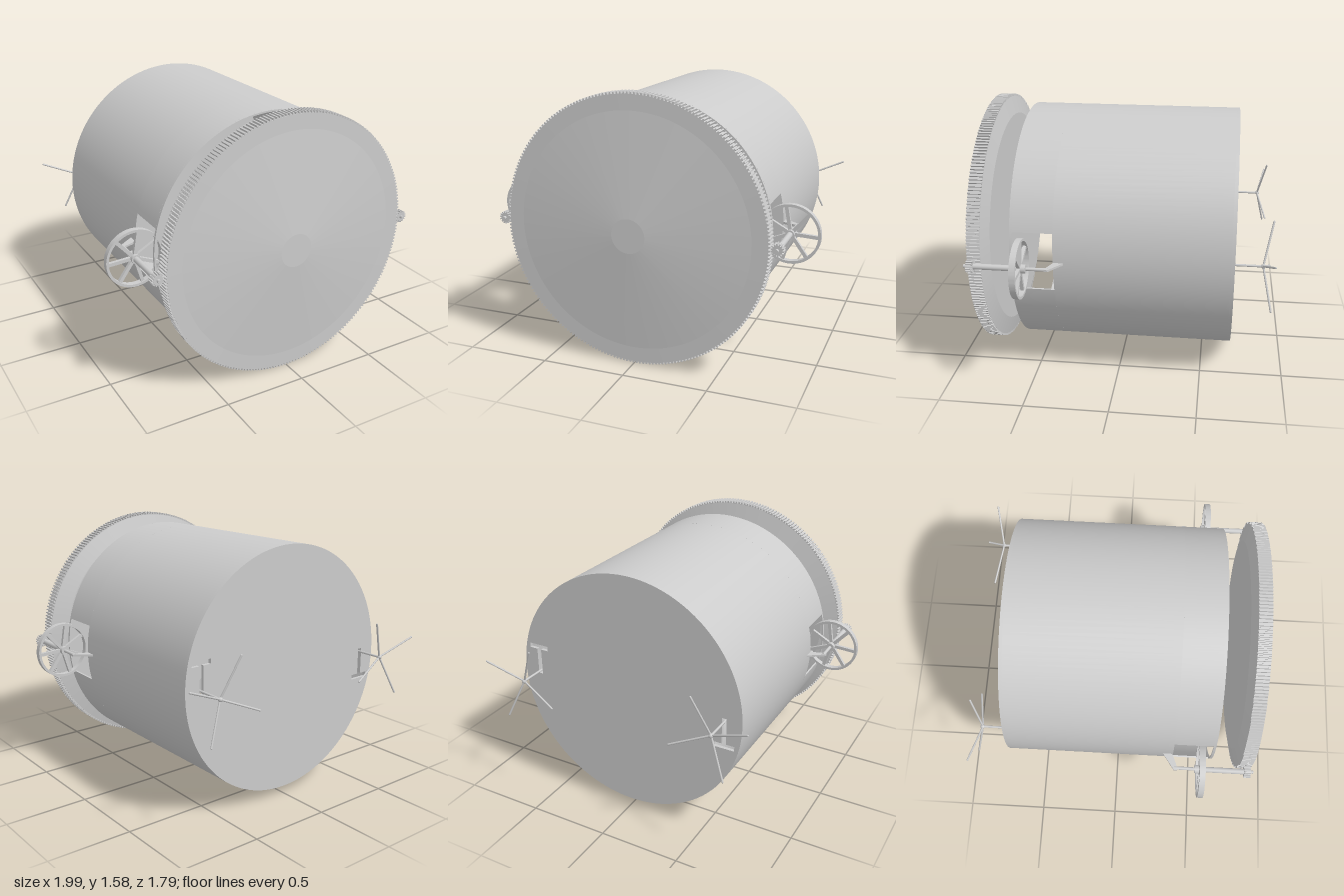
import * as THREE from 'three';
import { toCreasedNormals } from 'three/addons/utils/BufferGeometryUtils.js';

const grey = new THREE.MeshStandardMaterial({ color: 0xcccccc });
const CY = 0.79; // height of the drum axis
const R = 0.74, RI = 0.73; // drum wall radii

function add(parent, name, geometry) {
  const mesh = new THREE.Mesh(geometry, grey);
  mesh.name = name;
  parent.add(mesh);
  return mesh;
}

// Extrude a shape along z from z0 to z1
function slab(shape, z0, z1, crease = 0.3, curveSegments = 64) {
  const g = new THREE.ExtrudeGeometry(shape, { depth: z1 - z0, bevelEnabled: false, curveSegments });
  g.translate(0, 0, z0);
  return toCreasedNormals(g, crease);
}

// Cylinder lying along z
function rod(r, z0, z1, sides = 20) {
  return new THREE.CylinderGeometry(r, r, z1 - z0, sides).rotateX(Math.PI / 2).translate(0, 0, (z0 + z1) / 2);
}

function annulus(outer, inner) {
  const s = new THREE.Shape().absarc(0, 0, outer, 0, Math.PI * 2);
  s.holes.push(new THREE.Path().absarc(0, 0, inner, 0, Math.PI * 2, true));
  return s;
}

// Wall section between two angles
function wallArc(a0, a1) {
  const s = new THREE.Shape();
  s.absarc(0, 0, R, a0, a1, false);
  s.absarc(0, 0, RI, a1, a0, true);
  s.closePath();
  return s;
}

function gearShape(teeth, root, tip) {
  const pts = [];
  const step = (Math.PI * 2) / teeth;
  for (let i = 0; i < teeth; i++) {
    [[0, root], [0.4, root], [0.5, tip], [0.9, tip]].forEach(([f, r]) => {
      const a = (i + f) * step;
      pts.push(new THREE.Vector2(Math.cos(a) * r, Math.sin(a) * r));
    });
  }
  return new THREE.Shape(pts);
}

// T-shaped slot in the back plate, pointing up (dir 1) or down (dir -1)
function tSlot(x, dir) {
  const pts = [[-0.014, -0.02], [0.014, -0.02], [0.014, 0.145], [0.065, 0.145],
    [0.065, 0.175], [-0.065, 0.175], [-0.065, 0.145], [-0.014, 0.145]];
  return new THREE.Path(pts.map(([px, py]) => new THREE.Vector2(x + px, py * dir)));
}

function buildDrum() {
  const drum = new THREE.Group();
  drum.name = 'drum';
  const w = Math.asin(0.175 / R); // half angle of the side windows
  add(drum, 'drumWall', slab(annulus(R, RI), -0.66, 0.35));
  add(drum, 'upperWall', slab(wallArc(w, Math.PI - w), 0.35, 0.585));
  add(drum, 'lowerWall', slab(wallArc(Math.PI + w, Math.PI * 2 - w), 0.35, 0.585));
  add(drum, 'frontRim', slab(annulus(R, RI), 0.585, 0.6));
  const plate = new THREE.Shape().absarc(0, 0, R, 0, Math.PI * 2);
  plate.holes.push(tSlot(0.63, 1), tSlot(-0.63, -1));
  add(drum, 'backPlate', slab(plate, -0.68, -0.66));
  return drum;
}

function buildDoor() {
  const door = new THREE.Group();
  door.name = 'door';
  const profile = [[0, 0.733], [0.67, 0.733], [0.777, 0.76], [0.777, 0.838], [0.69, 0.84], [0.1, 0.895], [0, 0.895]]
    .map(([r, z]) => new THREE.Vector2(r, z));
  const disc = new THREE.LatheGeometry(profile, 192).rotateX(Math.PI / 2);
  add(door, 'doorDisc', toCreasedNormals(disc, 0.06));
  add(door, 'doorTeeth', slab(gearShape(240, 0.779, 0.79), 0.76, 0.838));
  return door;
}

// Handwheel, shaft, pinion and bracket on one side
function buildHandwheel(side) {
  const g = new THREE.Group();
  g.name = side > 0 ? 'leftHandwheel' : 'rightHandwheel';
  g.position.x = side * 0.825;
  add(g, 'wheelRim', slab(annulus(0.172, 0.157), 0.505, 0.54));
  const spokes = 7;
  for (let i = 0; i < spokes; i++) {
    const a = THREE.MathUtils.degToRad(side > 0 ? 100 : 80) + (i / spokes) * Math.PI * 2;
    const spoke = add(g, 'wheelSpoke', new THREE.BoxGeometry(0.15, 0.02, 0.02).translate(0.088, 0, 0.522));
    spoke.rotation.z = a;
  }
  add(g, 'wheelHub', rod(0.026, 0.485, 0.55));
  add(g, 'shaft', rod(0.017, 0.54, 0.8));
  add(g, 'shaftEnd', rod(0.01, 0.36, 0.845));
  add(g, 'pinion', slab(gearShape(14, 0.028, 0.037), 0.787, 0.827));
  // Thin bracket tying the shaft end to the drum wall
  const outline = [[0.015, 0.36], [0.015, 0.38], [-0.022, 0.372], [-0.09, 0.345], [-0.09, 0.285]]
    .map(([x, z]) => new THREE.Vector2(x * side, -z));
  const bracket = new THREE.ExtrudeGeometry(new THREE.Shape(outline), { depth: 0.012, bevelEnabled: false });
  add(g, 'bracket', bracket.rotateX(-Math.PI / 2).translate(0, -0.006, 0));
  return g;
}

// Four-armed handle on the back, arms raked backwards
function buildSpider(side) {
  const g = new THREE.Group();
  g.name = side > 0 ? 'leftBackHandle' : 'rightBackHandle';
  g.position.x = side * 0.63;
  add(g, 'handleShaft', rod(0.007, -0.85, -0.64, 12));
  add(g, 'handleHub', new THREE.SphereGeometry(0.014, 16, 10).translate(0, 0, -0.842));
  for (let i = 0; i < 4; i++) {
    const a = side * THREE.MathUtils.degToRad(23) + (i * Math.PI) / 2;
    const tip = new THREE.Vector3(Math.cos(a) * 0.255, Math.sin(a) * 0.255, -0.892);
    const path = new THREE.LineCurve3(new THREE.Vector3(0, 0, -0.84), tip);
    add(g, 'handleArm', new THREE.TubeGeometry(path, 1, 0.006, 10));
    add(g, 'handleArmTip', new THREE.SphereGeometry(0.006, 10, 6).translate(tip.x, tip.y, tip.z));
  }
  return g;
}

export function createModel() {
  const model = new THREE.Group();
  model.name = 'gearedDoorDrum';
  model.add(buildDrum(), buildDoor());
  for (const side of [1, -1]) model.add(buildHandwheel(side), buildSpider(side));
  model.children.forEach((part) => { part.position.y = CY; });
  return model;
}
